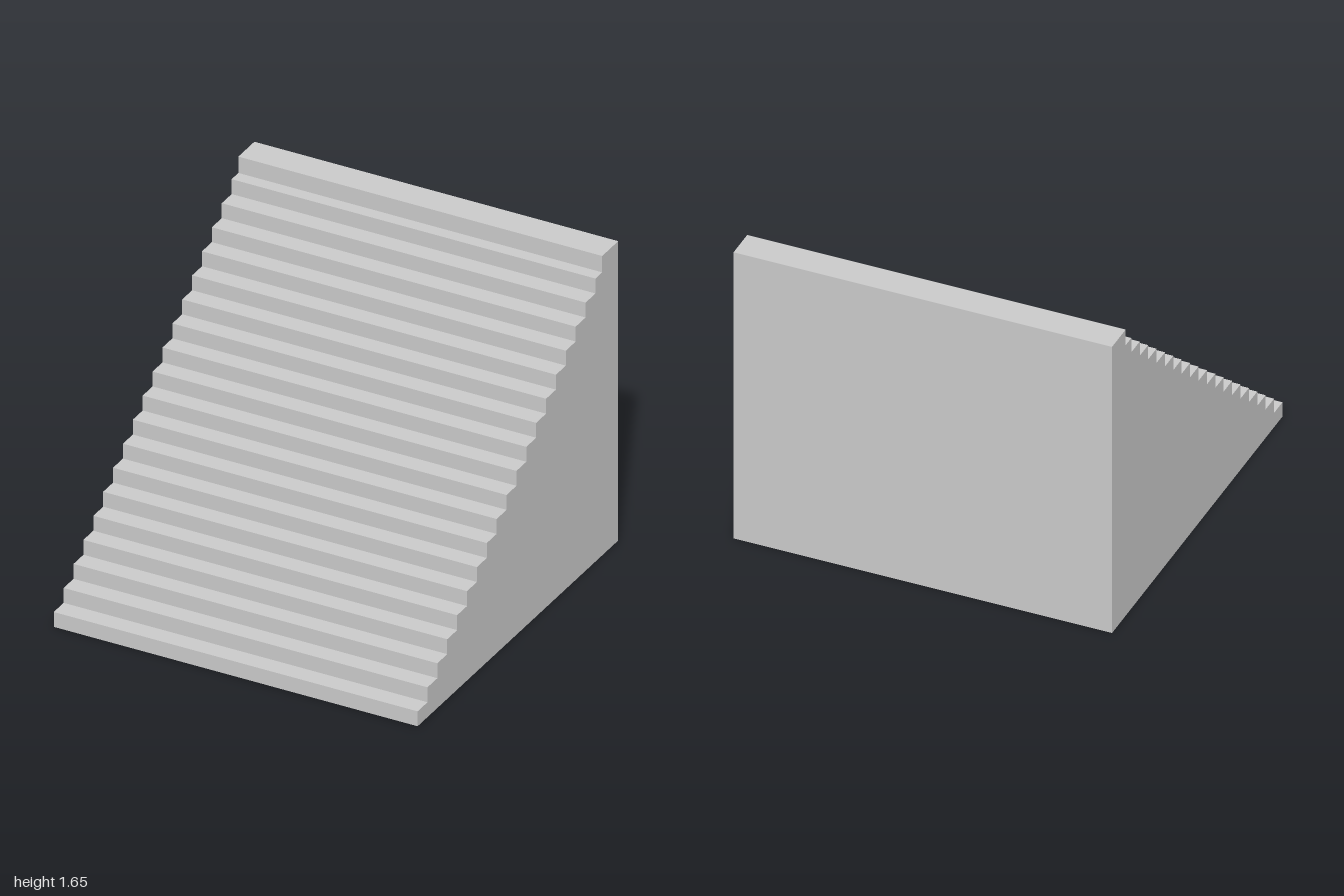
import * as THREE from 'three';

const STEPS = 19;      // regular steps below the landing
const RISE = 0.082;
const TREAD = 0.0985;
const WIDTH = 1.97;
const TOP = 1.648;     // landing height
const LANDING = -0.84; // z of the landing's riser

// Stepped side profile; shape x runs from the front (-1) to the back (+1)
function stairProfile() {
  const shape = new THREE.Shape();
  shape.moveTo(-1, 0);
  for (let i = 0; i < STEPS; i++) {
    const front = -1 + i * TREAD;
    const back = i === STEPS - 1 ? -LANDING : front + TREAD;
    shape.lineTo(front, (i + 1) * RISE);
    shape.lineTo(back, (i + 1) * RISE);
  }
  shape.lineTo(-LANDING, TOP);
  shape.lineTo(1, TOP);
  shape.lineTo(1, 0);
  shape.closePath();
  return shape;
}

export function createModel() {
  const group = new THREE.Group();
  group.name = 'staircase';

  // Solid flight: the profile extruded across the width, then turned to face +z
  const geometry = new THREE.ExtrudeGeometry(stairProfile(), { depth: WIDTH, bevelEnabled: false });
  geometry.translate(0, 0, -WIDTH / 2);
  geometry.rotateY(Math.PI / 2);

  const flight = new THREE.Mesh(geometry, new THREE.MeshStandardMaterial({ color: 0xcccccc }));
  flight.name = 'stairFlight';
  group.add(flight);
  return group;
}
